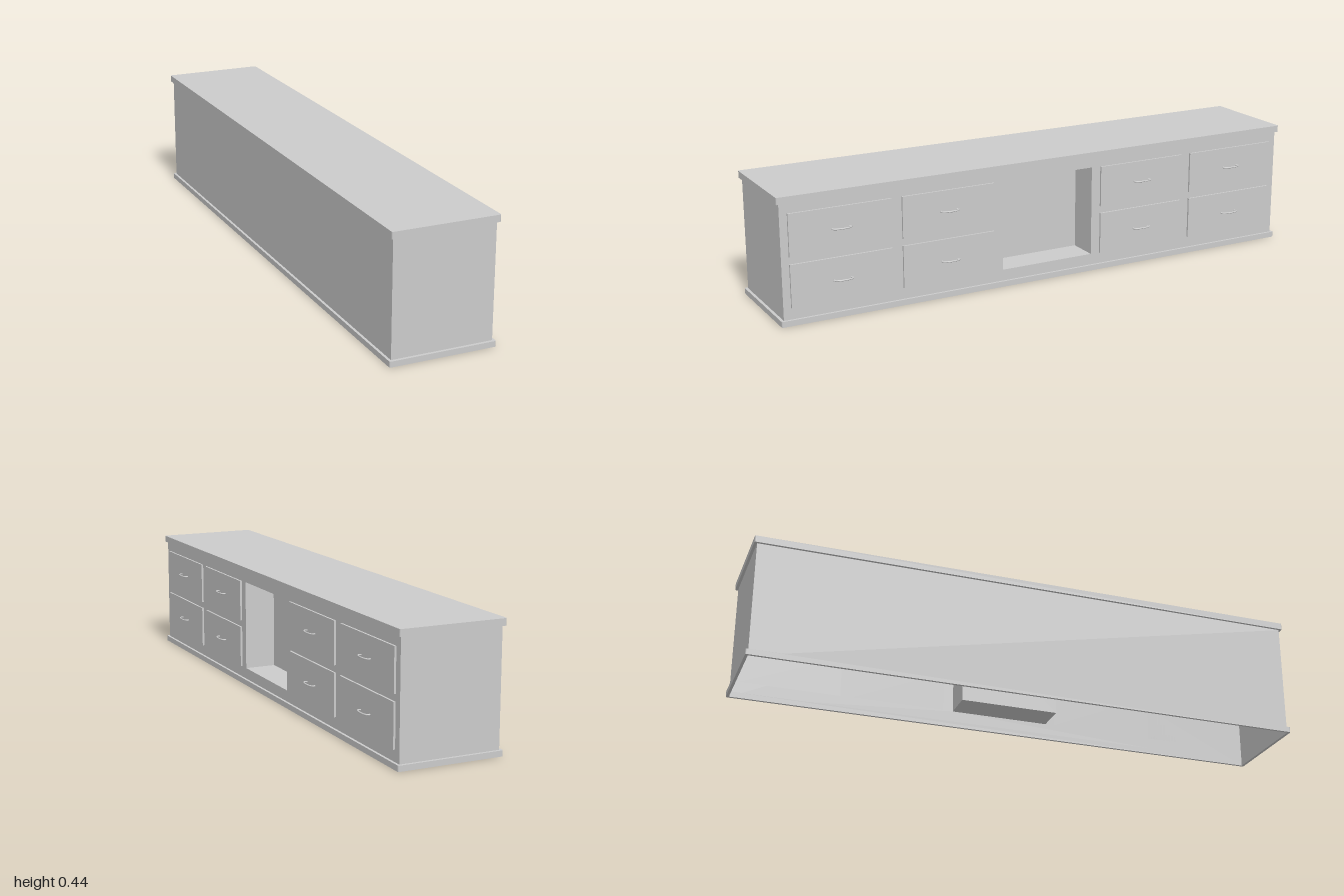
import * as THREE from 'three';

const grey = new THREE.MeshStandardMaterial({ color: 0xcccccc, side: THREE.DoubleSide });

function add(parent, name, geometry, x = 0, y = 0, z = 0) {
  const mesh = new THREE.Mesh(geometry, grey);
  mesh.name = name;
  mesh.position.set(x, y, z);
  parent.add(mesh);
  return mesh;
}

// Thin flat panel, turned about x and y
function panel(parent, name, w, h, x, y, z, rx = 0, ry = 0) {
  const mesh = add(parent, name, new THREE.PlaneGeometry(w, h), x, y, z);
  mesh.rotation.set(rx, ry, 0);
  return mesh;
}

// Rectangle outline with small rounded corners
function roundedRect(w, d, r) {
  const s = new THREE.Shape(), a = w / 2 - r, b = d / 2 - r;
  s.absarc(a, b, r, 0, Math.PI / 2);
  s.absarc(-a, b, r, Math.PI / 2, Math.PI);
  s.absarc(-a, -b, r, Math.PI, Math.PI * 1.5);
  s.absarc(a, -b, r, Math.PI * 1.5, Math.PI * 2);
  s.closePath();
  return s;
}

function rectPath(x0, x1, y0, y1) {
  return new THREE.Path([[x0, y0], [x0, y1], [x1, y1], [x1, y0]].map(p => new THREE.Vector2(...p)));
}

export function createModel() {
  const model = new THREE.Group();
  model.name = 'lowCabinet';

  const back = -0.188, front = 0.168, end = 0.99, top = 0.418;
  const cx = (back + front) / 2, depth = front - back;
  const H = Math.PI / 2;

  // Top slab
  const slab = new THREE.ExtrudeGeometry(roundedRect(0.374, 2, 0.005),
    { depth: 0.024, bevelEnabled: false, curveSegments: 5 });
  slab.rotateX(-H);
  add(model, 'topSlab', slab, cx, top, 0);

  // Base moulding, a frame open underneath
  const ring = roundedRect(0.374, 2, 0.005);
  ring.holes.push(rectPath(-depth / 2, depth / 2, -end, end));
  const base = new THREE.ExtrudeGeometry(ring, { depth: 0.02, bevelEnabled: false, curveSegments: 5 });
  base.rotateX(-H);
  add(model, 'baseMoulding', base, cx, 0, 0);

  // Hollow carcass walls
  panel(model, 'backWall', end * 2, top, back, top / 2, 0, 0, -H);
  panel(model, 'leftEndWall', depth, top, cx, top / 2, end);
  panel(model, 'rightEndWall', depth, top, cx, top / 2, -end, 0, Math.PI);

  // Front wall with the niche opening
  const n = { half: 0.18, y0: 0.06, y1: 0.384, depth: 0.113 };
  const face = new THREE.Shape([[-end, 0], [end, 0], [end, top], [-end, top]].map(p => new THREE.Vector2(...p)));
  face.holes.push(rectPath(-n.half, n.half, n.y0, n.y1));
  const faceGeo = new THREE.ShapeGeometry(face);
  faceGeo.rotateY(H);
  add(model, 'frontWall', faceGeo, front, 0, 0);

  // Open niche in the middle
  const niche = new THREE.Group();
  niche.name = 'niche';
  model.add(niche);
  const nx = front - n.depth / 2, ny = (n.y0 + n.y1) / 2, nh = n.y1 - n.y0;
  panel(niche, 'nicheBack', n.half * 2, nh, front - n.depth, ny, 0, 0, H);
  panel(niche, 'nicheFloor', n.depth, n.half * 2, nx, n.y0, 0, -H);
  panel(niche, 'nicheCeiling', n.depth, n.half * 2, nx, n.y1, 0, H);
  panel(niche, 'nicheLeftSide', n.depth, nh, nx, ny, n.half, 0, Math.PI);
  panel(niche, 'nicheRightSide', n.depth, nh, nx, ny, -n.half);

  // Bow handle: flattened arc with its feet in the drawer front
  const bow = new THREE.CatmullRomCurve3([
    [0, -0.029], [0.006, -0.034], [0.013, -0.029], [0.0175, -0.015], [0.0185, 0],
    [0.0175, 0.015], [0.013, 0.029], [0.006, 0.034], [0, 0.029],
  ].map(([x, z]) => new THREE.Vector3(x, 0, z)));
  const handleGeo = new THREE.TubeGeometry(bow, 32, 0.0028, 8);

  // Drawers: two columns on each side, two rows
  const thick = 0.007;
  for (const side of [1, -1]) {
    for (const [z, w] of [[0.781, 0.364], [0.388, 0.346]]) {
      for (const [y0, y1, handleY] of [[0.06, 0.21, 0.133], [0.235, 0.383, 0.311]]) {
        const drawer = new THREE.Group();
        drawer.name = 'drawer';
        drawer.position.set(front, 0, z * side);
        model.add(drawer);
        add(drawer, 'drawerFront', new THREE.BoxGeometry(thick, y1 - y0, w), thick / 2, (y0 + y1) / 2, 0);
        add(drawer, 'handle', handleGeo, thick - 0.001, handleY, 0);
      }
    }
  }
  return model;
}
